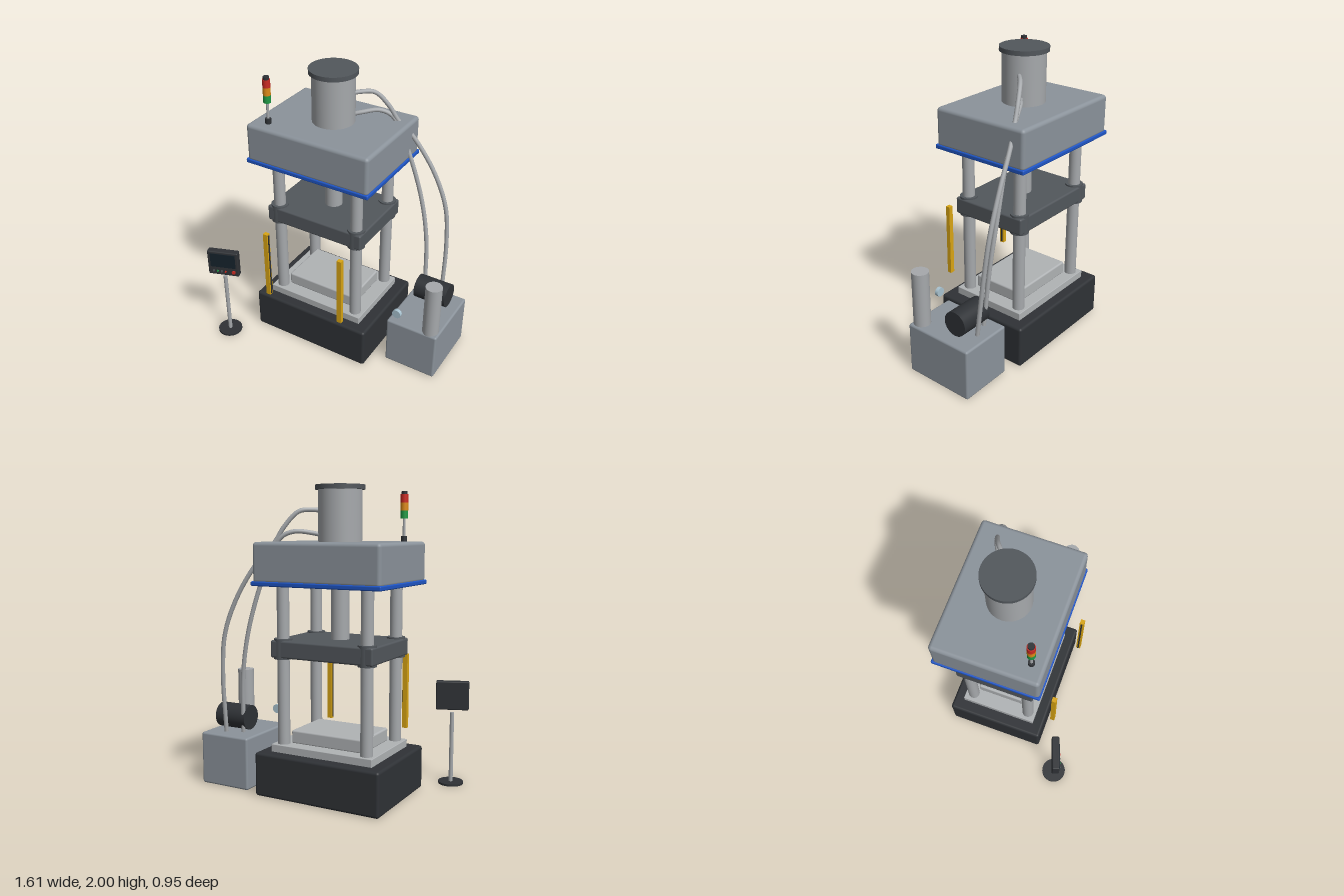
import * as THREE from 'three';
import { RoundedBoxGeometry } from 'three/addons/geometries/RoundedBoxGeometry.js';

const COLORS = {
  paint: 0x8b939b, dark: 0x2f3236, slide: 0x52575c, steel: 0xa6a9ac, plate: 0xb0b3b5,
  blue: 0x1f55c4, yellow: 0xd9a514, red: 0xcc2a22, amber: 0xdd8a18, green: 0x1f9a45,
  screen: 0x14212a, glass: 0xa9c3d0,
};
const mats = {};
for (const k in COLORS) mats[k] = new THREE.MeshStandardMaterial({ color: COLORS[k] });

export function createModel() {
  const model = new THREE.Group();
  const CX = -0.11, CZ = -0.125; // press axis

  function add(name, geo, mat, x, y, z, parent = model) {
    const m = new THREE.Mesh(geo, mats[mat]);
    m.name = name;
    m.position.set(x, y, z);
    parent.add(m);
    return m;
  }
  // Rounded block and cylinder, both placed by their bottom and top heights
  function block(name, mat, w, d, y0, y1, x, z, r = 0.01) {
    return add(name, new RoundedBoxGeometry(w, y1 - y0, d, 3, r), mat, x, (y0 + y1) / 2, z);
  }
  function cyl(name, mat, r, y0, y1, x, z, seg = 32) {
    return add(name, new THREE.CylinderGeometry(r, r, y1 - y0, seg), mat, x, (y0 + y1) / 2, z);
  }

  // Press frame
  block('base', 'dark', 0.89, 0.685, 0, 0.29, CX, CZ, 0.018);
  block('crown', 'paint', 0.89, 0.685, 1.385, 1.645, CX, CZ, 0.024);
  block('crownTrim', 'blue', 0.905, 0.7, 1.37, 1.4, CX, CZ, 0.008);
  block('bolster', 'plate', 0.725, 0.536, 0.285, 0.34, CX, CZ, 0.004);
  block('lowerDie', 'plate', 0.525, 0.36, 0.335, 0.425, CX, CZ, 0.012);
  block('slide', 'slide', 0.725, 0.536, 0.91, 1.022, CX, CZ, 0.012);

  // Main cylinder and ram
  cyl('mainCylinder', 'steel', 0.14, 1.64, 1.975, CX, CZ, 48);
  cyl('cylinderCap', 'slide', 0.158, 1.97, 2, CX, CZ, 48);
  cyl('ram', 'steel', 0.06, 1.02, 1.39, CX, CZ);

  // Guide columns with bushings in the slide
  for (const sx of [-1, 1]) for (const sz of [-1, 1]) {
    const x = CX + sx * 0.3, z = CZ + sz * 0.21;
    cyl('column', 'steel', 0.04, 0.285, 1.39, x, z);
    cyl('bushing', 'slide', 0.06, 0.9, 1.032, x, z);
  }

  // Light curtain posts with inner sensor strips
  for (const s of [-1, 1]) {
    const x = CX + s * 0.291;
    add('lightCurtain', new THREE.BoxGeometry(0.033, 0.51, 0.03), 'yellow', x, 0.635, 0.273);
    add('sensorStrip', new THREE.BoxGeometry(0.006, 0.49, 0.01), 'dark', x - s * 0.019, 0.635, 0.273);
  }

  // Signal tower
  const tower = [['towerFoot', 'dark', 0.02, 1.64, 1.68], ['towerPole', 'steel', 0.009, 1.68, 1.79],
    ['greenLamp', 'green', 0.025, 1.79, 1.84], ['amberLamp', 'amber', 0.025, 1.84, 1.892],
    ['redLamp', 'red', 0.025, 1.892, 1.944], ['towerCap', 'dark', 0.02, 1.944, 1.962]];
  for (const [n, m, r, y0, y1] of tower) cyl(n, m, r, y0, y1, -0.438, 0.13, 24);

  // Operator pendant
  const PX = -0.695, PZ = 0.39;
  cyl('pendantFoot', 'dark', 0.085, 0, 0.014, PX, PZ);
  cyl('pendantPole', 'steel', 0.014, 0.014, 0.495, PX, PZ, 20);
  const pendant = new THREE.Group();
  pendant.name = 'controlPanel';
  pendant.position.set(PX, 0.613, PZ);
  pendant.rotation.y = 0.35;
  model.add(pendant);
  add('panelHousing', new RoundedBoxGeometry(0.22, 0.195, 0.05, 3, 0.008), 'dark', 0, 0, 0, pendant);
  add('screen', new THREE.BoxGeometry(0.18, 0.11, 0.006), 'screen', 0, 0.026, 0.025, pendant);
  function button(mat, r, x) {
    const b = add('button', new THREE.CylinderGeometry(r, r, 0.014, 16), mat, x, -0.062, 0.028, pendant);
    b.rotation.x = Math.PI / 2;
  }
  ['slide', 'green', 'slide', 'red'].forEach((m, i) => button(m, 0.006, -0.07 + i * 0.029));
  button('red', 0.013, 0.075);

  // Hydraulic power unit
  block('tank', 'paint', 0.372, 0.49, 0, 0.355, 0.616, -0.175, 0.014);
  cyl('accumulator', 'steel', 0.056, 0.35, 0.73, 0.734, 0.014);
  const motor = add('pumpMotor', new THREE.CylinderGeometry(0.083, 0.083, 0.233, 40), 'dark', 0.617, 0.46, -0.266);
  motor.rotation.z = Math.PI / 2;
  const gauge = add('gauge', new THREE.CylinderGeometry(0.031, 0.031, 0.024, 24), 'glass', 0.508, 0.45, 0.074);
  gauge.rotation.x = Math.PI / 2;

  // Hoses from the main cylinder through the crown to the power unit
  const hoses = [
    [[0, 1.84, -0.17], [0.04, 1.845, -0.205], [0.11, 1.835, -0.265], [0.19, 1.74, -0.312], [0.245, 1.645, -0.335],
      [0.34, 1.53, -0.378], [0.485, 1.3, -0.412], [0.585, 1.05, -0.422], [0.622, 0.78, -0.405], [0.635, 0.37, -0.362]],
    [[0, 1.69, -0.19], [0.04, 1.7, -0.215], [0.13, 1.71, -0.285], [0.2, 1.68, -0.32], [0.25, 1.61, -0.333],
      [0.335, 1.42, -0.342], [0.435, 1.1, -0.358], [0.495, 0.8, -0.35], [0.525, 0.37, -0.32]],
  ];
  for (const pts of hoses) {
    const path = new THREE.CatmullRomCurve3(pts.map(p => new THREE.Vector3(...p)));
    add('hose', new THREE.TubeGeometry(path, 80, 0.0145, 12), 'steel', 0, 0, 0);
  }
  return model;
}
